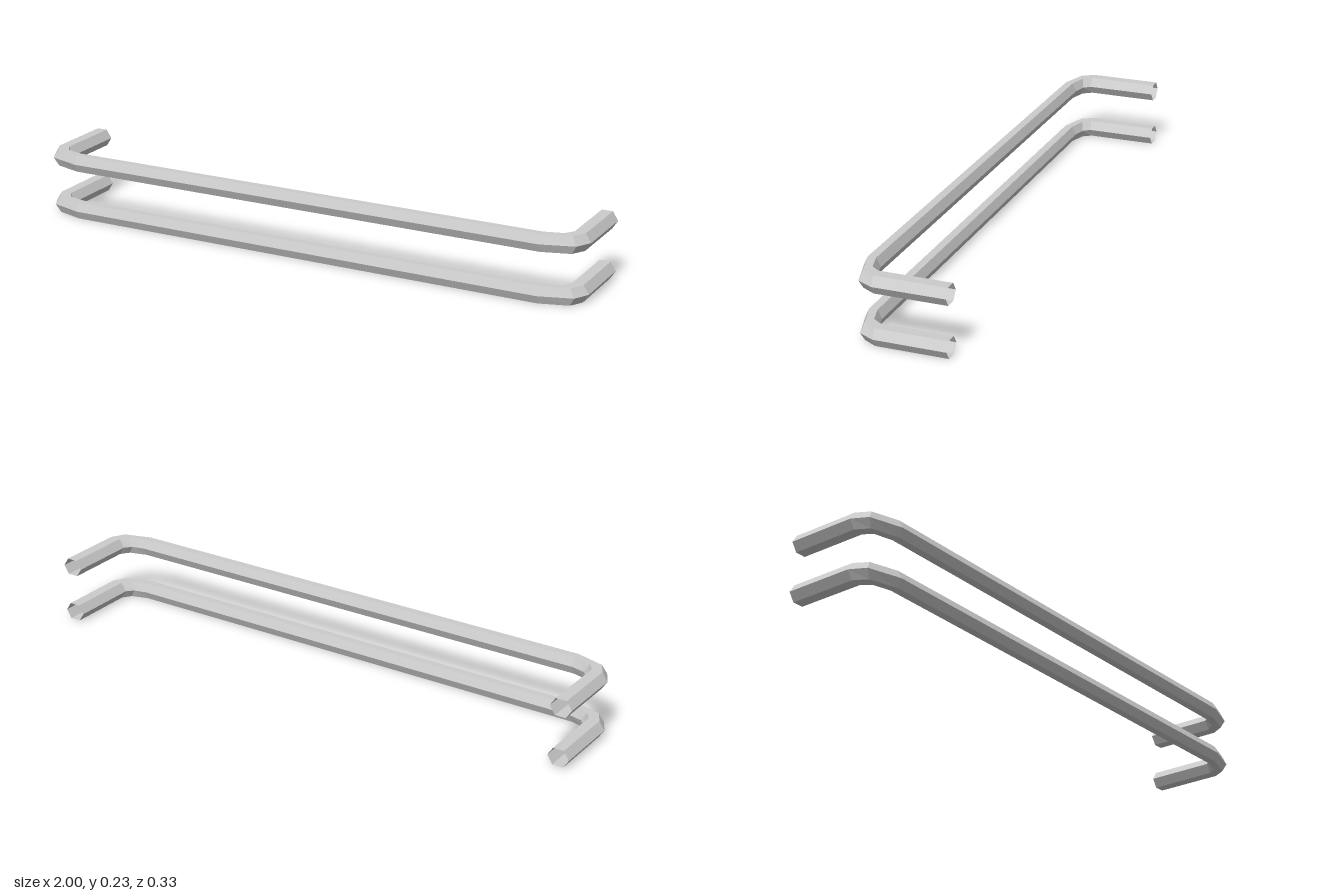
import * as THREE from 'three';

const HALF_HEIGHT = 0.029;

// Half of the bent rod, from the leg's open end to the straight bar.
// Each station gives the outer and inner corner of its hexagon: [xOut, zOut, xIn, zIn]
const HALF = [
  [1.0, -0.163, 0.925, -0.163],
  [1.0, 0.075, 0.925, 0.075],
  [0.972, 0.128, 0.905, 0.097],
  [0.86, 0.163, 0.86, 0.108],
];
const STATIONS = [...HALF, ...HALF.map(([a, b, c, d]) => [-a, b, -c, d]).reverse()];

// Hexagon with flat top and bottom: [fraction from outer to inner corner, height]
const HEXAGON = [[0, 0], [0.25, 1], [0.75, 1], [1, 0], [0.75, -1], [0.25, -1]];

// Joins the hexagons into an open-ended tube
function railGeometry() {
  const rings = STATIONS.map(([xo, zo, xi, zi]) => HEXAGON.map(([t, h]) =>
    [xo + (xi - xo) * t, h * HALF_HEIGHT, zo + (zi - zo) * t]));
  const positions = [];
  for (let j = 0; j < rings.length - 1; j++) {
    for (let k = 0; k < 6; k++) {
      const n = (k + 1) % 6;
      const a = rings[j][k], b = rings[j][n], c = rings[j + 1][n], d = rings[j + 1][k];
      positions.push(...a, ...b, ...c, ...a, ...c, ...d);
    }
  }
  const geometry = new THREE.BufferGeometry();
  geometry.setAttribute('position', new THREE.Float32BufferAttribute(positions, 3));
  geometry.computeVertexNormals();
  return geometry;
}

export function createModel() {
  const group = new THREE.Group();
  group.name = 'doubleRail';
  const material = new THREE.MeshStandardMaterial({
    color: 0xcccccc, flatShading: true, side: THREE.DoubleSide,
  });
  const geometry = railGeometry();

  // Two identical rails, one above the other
  for (const [name, y] of [['lowerRail', 0.029], ['upperRail', 0.2]]) {
    const rail = new THREE.Mesh(geometry, material);
    rail.name = name;
    rail.position.y = y;
    group.add(rail);
  }
  return group;
}
